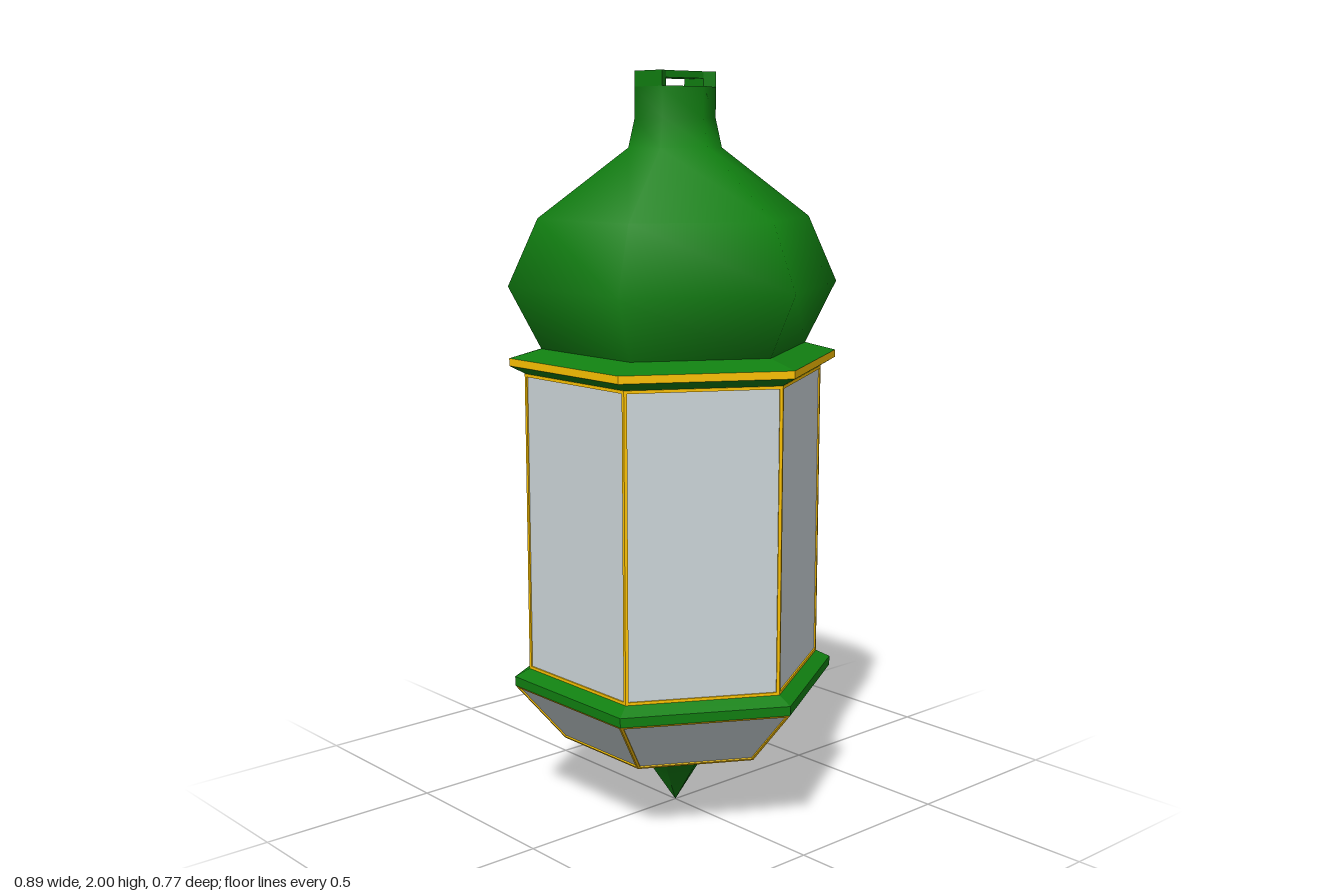
import * as THREE from 'three';

const green = new THREE.MeshStandardMaterial({ color: 0x118011, side: THREE.DoubleSide });
const greenFlat = new THREE.MeshStandardMaterial({ color: 0x118011, flatShading: true, side: THREE.DoubleSide });
const gold = new THREE.MeshStandardMaterial({ color: 0xffc400, flatShading: true });
const glass = new THREE.MeshStandardMaterial({ color: 0xcfd8dc, side: THREE.DoubleSide });

function add(parent, name, geometry, material) {
  const mesh = new THREE.Mesh(geometry, material);
  mesh.name = name;
  parent.add(mesh);
  return mesh;
}

// Six-sided lathe with corners on the x axis; profile is [radius, height] from bottom to top
function hexLathe(profile) {
  return new THREE.LatheGeometry(profile.map(([r, y]) => new THREE.Vector2(r, y)), 6, Math.PI / 2);
}

const polygon = (pts) => new THREE.Shape(pts.map(([x, y]) => new THREE.Vector2(x, y)));

// Horizontal plan outline raised between two heights
function slab(pts, y0, y1) {
  const geo = new THREE.ExtrudeGeometry(polygon(pts), { depth: y1 - y0, bevelEnabled: false });
  return geo.rotateX(-Math.PI / 2).translate(0, y0, 0);
}

// Ring of six framed panes between two hexagons
function paneRing(name, r0, y0, r1, y1, border) {
  const ring = new THREE.Group();
  ring.name = name;
  const apothem = Math.cos(Math.PI / 6);
  const rise = y1 - y0, lean = (r1 - r0) * apothem;
  const length = Math.hypot(rise, lean);
  const trapezoid = (inset) => {
    const half = (y) => THREE.MathUtils.lerp(r0, r1, y / length) / 2 - inset;
    const lo = inset, hi = length - inset;
    return [[-half(lo), lo], [half(lo), lo], [half(hi), hi], [-half(hi), hi]];
  };
  const depth = 0.008;
  const outline = polygon(trapezoid(0));
  outline.holes.push(polygon(trapezoid(border).reverse()));
  const frameGeo = new THREE.ExtrudeGeometry(outline, { depth, bevelEnabled: false }).translate(0, 0, -depth);
  const paneGeo = new THREE.ShapeGeometry(polygon(trapezoid(border))).translate(0, 0, -depth / 2);
  for (let i = 0; i < 6; i++) {
    const side = new THREE.Group();
    side.name = name + 'Side';
    side.rotation.y = i * Math.PI / 3;
    const panel = new THREE.Group();
    panel.name = 'panel';
    panel.position.set(0, y0, r0 * apothem);
    panel.rotation.x = Math.atan2(lean, rise);
    add(panel, 'frame', frameGeo, gold);
    add(panel, 'pane', paneGeo, glass);
    side.add(panel);
    ring.add(side);
  }
  return ring;
}

export function createModel() {
  const lantern = new THREE.Group();
  lantern.name = 'lantern';

  // Pointed finial and underside
  add(lantern, 'bottomFinial', hexLathe([[0, 0], [0.108, 0.165], [0.31, 0.205]]), green);

  // Glazed bowl and body
  lantern.add(paneRing('lowerGlass', 0.31, 0.205, 0.445, 0.365, 0.007));
  lantern.add(paneRing('bodyGlass', 0.405, 0.41, 0.405, 1.22, 0.008));

  // Lower and upper collars
  add(lantern, 'lowerCollar', hexLathe([[0.40, 0.365], [0.445, 0.365], [0.445, 0.39], [0.40, 0.413]]), greenFlat);
  add(lantern, 'upperCollarUnderside', hexLathe([[0.40, 1.218], [0.445, 1.242]]), greenFlat);
  add(lantern, 'upperCollarTrim', hexLathe([[0.445, 1.242], [0.445, 1.262]]), gold);
  add(lantern, 'upperCollarTop', hexLathe([[0.445, 1.262], [0.36, 1.285]]), greenFlat);

  // Onion dome with neck
  add(lantern, 'dome', hexLathe([
    [0.36, 1.285], [0.445, 1.45], [0.365, 1.625], [0.125, 1.805], [0.108, 1.88], [0.108, 1.96],
  ]), green);
  add(lantern, 'neckCap', hexLathe([[0.108, 1.96], [0, 1.96]]), greenFlat);

  // Hanging loop: two legs and a bridge running front to back
  const o = 0.054, i = 0.0375, zo = 0.0935, zi = 0.065;
  for (const s of [1, -1]) {
    const leg = [[-i, zi], [i, zi], [o, zo], [-o, zo]].map(([x, z]) => [x * s, z * s]);
    add(lantern, s > 0 ? 'backLoopLeg' : 'frontLoopLeg', slab(leg, 1.96, 1.982), greenFlat);
  }
  const bridge = [[-o, -zo], [o, -zo], [i, -zi], [i, zi], [o, zo], [-o, zo], [-i, zi], [-i, -zi]];
  add(lantern, 'loopBridge', slab(bridge, 1.982, 2), greenFlat);

  return lantern;
}
